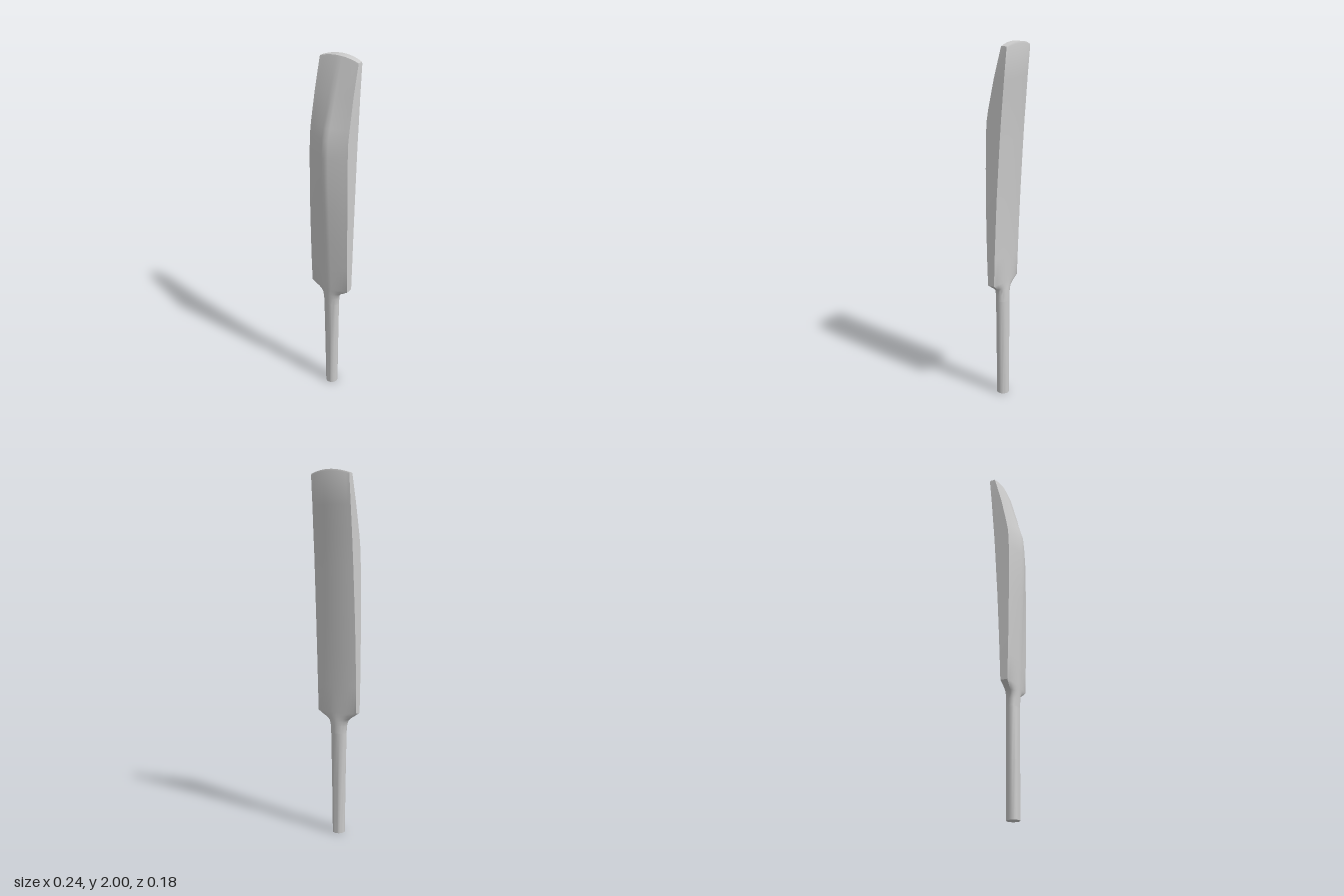
import * as THREE from 'three';
import { toCreasedNormals } from 'three/addons/utils/BufferGeometryUtils.js';

const N = 13; // points across the front and across the back of each section

// One section: front run from -x to +x, then back run from +x to -x.
// round = 1 gives an ellipse, 0 the ridged blade outline, between is a blend.
function section({ y, w, ridge, edge, backEdge, back, round = 0, crown = 0 }) {
  const points = [];
  const midZ = (ridge + back) / 2, halfZ = (ridge - back) / 2;
  for (let i = 0; i < 2 * N; i++) {
    const front = i < N;
    const t = (i % N) / (N - 1);
    const s = (front ? 1 : -1) * (2 * t - 1);
    const flat = new THREE.Vector3(
      s * w,
      y - crown * s * s,
      front ? THREE.MathUtils.lerp(ridge, edge, Math.abs(s)) : THREE.MathUtils.lerp(back, backEdge, s * s)
    );
    const a = s * Math.PI * 0.5 * (N - 1) / N;
    const oval = new THREE.Vector3(Math.sin(a) * w, y, midZ + (front ? 1 : -1) * Math.cos(a) * halfZ);
    points.push(flat.lerp(oval, round));
  }
  return points;
}

// Skin the sections from bottom to top, closing either end when asked
function loft(sections, capBottom, capTop) {
  const rings = sections.map(section);
  const count = 2 * N;
  const index = [];
  for (let j = 0; j < rings.length - 1; j++) {
    for (let i = 0; i < count; i++) {
      const k = (i + 1) % count;
      const a = j * count + i, b = j * count + k;
      index.push(a, b, b + count, a, b + count, a + count);
    }
  }
  const last = (rings.length - 1) * count;
  for (let i = 0; i < N - 1; i++) {
    const p = i, q = i + 1, r = count - 2 - i, s = count - 1 - i;
    if (capBottom) index.push(p, r, q, p, s, r);
    if (capTop) index.push(last + p, last + q, last + r, last + p, last + r, last + s);
  }
  const geometry = new THREE.BufferGeometry().setFromPoints(rings.flat());
  geometry.setIndex(index);
  return toCreasedNormals(geometry, 0.75);
}

export function createModel() {
  const model = new THREE.Group();
  model.name = 'bat';
  const material = new THREE.MeshStandardMaterial({ color: 0xcccccc });
  const add = (name, geometry) => {
    const mesh = new THREE.Mesh(geometry, material);
    mesh.name = name;
    model.add(mesh);
  };

  // Oval handle, widening a little towards the blade
  const grip = (y, w) => ({ y, w, ridge: 0.054, edge: 0.02, backEdge: 0.02, back: -0.016, round: 1 });
  add('handle', loft([grip(0, 0.034), grip(0.3, 0.039), grip(0.58, 0.045)], true, false));

  // Shoulders flare out of the handle into the ridged blade, which thins to the toe
  const blade = (y, w, ridge, edge, backEdge, back, round, crown) =>
    ({ y, w, ridge, edge, backEdge, back, round, crown });
  add('blade', loft([
    grip(0.58, 0.045),
    blade(0.62, 0.048, 0.055, 0.03, 0.005, -0.015, 0.95),
    blade(0.645, 0.054, 0.056, 0.035, 0, -0.014, 0.8),
    blade(0.662, 0.066, 0.057, 0.037, 0, -0.013, 0.5),
    blade(0.68, 0.092, 0.058, 0.038, 0, -0.012, 0.2),
    blade(0.70, 0.119, 0.059, 0.039, 0, -0.012),
    blade(0.85, 0.12, 0.064, 0.043, -0.005, -0.016),
    blade(1.0, 0.12, 0.07, 0.046, -0.011, -0.022),
    blade(1.2, 0.12, 0.08, 0.048, -0.02, -0.032),
    blade(1.35, 0.119, 0.087, 0.048, -0.029, -0.041),
    blade(1.5, 0.118, 0.088, 0.047, -0.038, -0.05),
    blade(1.6, 0.117, 0.084, 0.042, -0.045, -0.057),
    blade(1.66, 0.117, 0.067, 0.032, -0.05, -0.062),
    blade(1.82, 0.115, 0.016, -0.002, -0.063, -0.075),
    blade(1.99, 0.114, -0.038, -0.043, -0.077, -0.09, 0, 0.018),
    blade(2.0, 0.113, -0.042, -0.046, -0.075, -0.087, 0, 0.02)
  ], false, true));

  return model;
}
